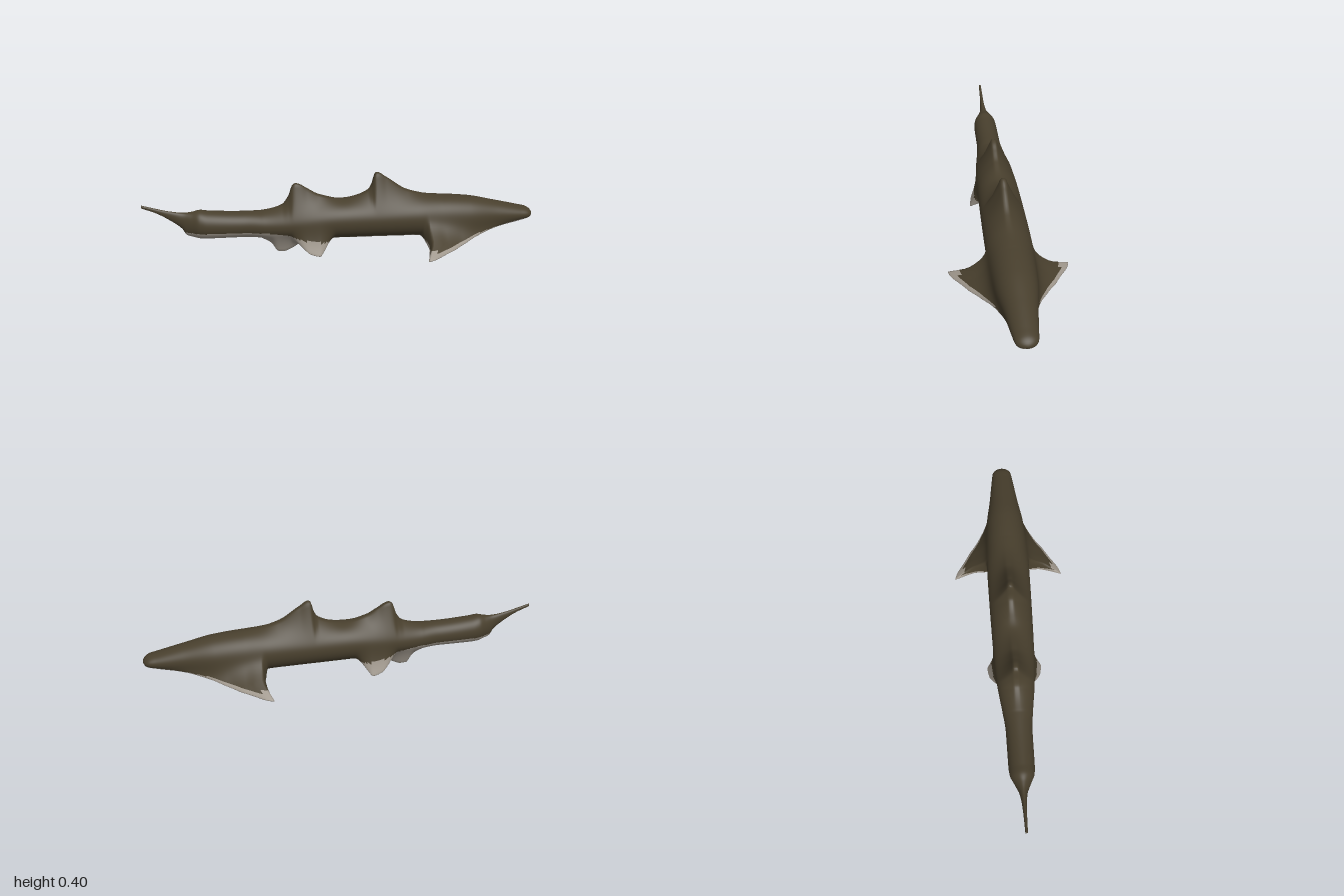
import * as THREE from 'three';

// Smooth monotone interpolation through [x, value, ...] rows
function sample(rows, x, c = 1) {
  const n = rows.length - 1;
  if (x <= rows[0][0]) return rows[0][c];
  if (x >= rows[n][0]) return rows[n][c];
  let i = 0;
  while (x > rows[i + 1][0]) i++;
  const slope = k => (rows[k + 1][c] - rows[k][c]) / (rows[k + 1][0] - rows[k][0]);
  const tangent = k => {
    if (k === 0 || k === n) return slope(k === 0 ? 0 : n - 1);
    const a = slope(k - 1), b = slope(k);
    return a * b <= 0 ? 0 : 2 * a * b / (a + b);
  };
  const h = rows[i + 1][0] - rows[i][0], t = (x - rows[i][0]) / h, u = 1 - t;
  return rows[i][c] * u * u * (1 + 2 * t) + rows[i + 1][c] * t * t * (3 - 2 * t)
    + h * t * u * (tangent(i) * u - tangent(i + 1) * t);
}

// Body core: x, top, bottom, half width
const core = [
  [-1, 0.283, 0.268, 0.006], [-0.93, 0.262, 0.238, 0.008], [-0.87, 0.246, 0.2, 0.011],
  [-0.81, 0.236, 0.15, 0.02], [-0.79, 0.235, 0.116, 0.028], [-0.76, 0.237, 0.106, 0.042],
  [-0.72, 0.244, 0.096, 0.06], [-0.68, 0.238, 0.094, 0.064], [-0.5, 0.227, 0.094, 0.066],
  [-0.4, 0.226, 0.086, 0.077], [-0.25, 0.243, 0.077, 0.096], [0, 0.27, 0.07, 0.107],
  [0.38, 0.275, 0.062, 0.112], [0.5, 0.272, 0.046, 0.108], [0.65, 0.259, 0.052, 0.099],
  [0.8, 0.227, 0.088, 0.075], [0.93, 0.196, 0.114, 0.057], [0.97, 0.186, 0.124, 0.05],
  [0.99, 0.174, 0.133, 0.036], [1, 0.162, 0.146, 0.015],
];
// Height of the two dorsal fins above the core
const dorsal = [
  [-0.42, 0], [-0.31, 0.02], [-0.275, 0.06], [-0.255, 0.112], [-0.24, 0.121], [-0.22, 0.114],
  [-0.18, 0.084], [-0.12, 0.042], [0, 0.004], [0.06, 0.014], [0.13, 0.045], [0.15, 0.08],
  [0.162, 0.128], [0.175, 0.134], [0.22, 0.107], [0.33, 0.035], [0.44, 0.006], [0.52, 0],
];
// Depth of the anal fin below the core
const anal = [[-0.42, 0], [-0.37, 0.028], [-0.335, 0.074], [-0.31, 0.076], [-0.27, 0.06], [-0.21, 0.02], [-0.16, 0]];
// Paired fins: x, reach, tip height, strength
const paired = [
  [-0.27, 0.1, 0.06, 0], [-0.21, 0.132, 0.042, 0.75], [-0.18, 0.137, 0.03, 0.95],
  [-0.13, 0.142, 0.022, 1], [-0.11, 0.135, 0.03, 0.85], [-0.04, 0.11, 0.06, 0],
  [0.395, 0.11, 0.06, 0], [0.41, 0.135, 0.055, 0.7], [0.42, 0.2, 0.045, 1], [0.43, 0.293, 0.034, 1],
  [0.455, 0.285, 0.035, 1], [0.513, 0.23, 0.043, 1], [0.6, 0.158, 0.056, 1],
  [0.7, 0.108, 0.08, 0.8], [0.82, 0.076, 0.11, 0.4], [0.95, 0.052, 0.13, 0],
];
// Height of the line between back and belly colours
const colourLine = [
  [-0.81, 0], [-0.795, 0.137], [-0.4, 0.132], [-0.3, 0.118], [-0.2, 0.096], [-0.12, 0.085],
  [0.35, 0.088], [0.43, 0.07], [0.6, 0.079], [0.8, 0.11], [1, 0.147],
];

const FIN_ANGLE = -0.7;
const ridge = (z, flat, width) => Math.max(0, 1 - Math.max(0, Math.abs(z) - flat) / width) ** 2;

// One point of the skin at station x and angle a around the body
function skinPoint(x, a) {
  const top = sample(core, x, 1), bottom = sample(core, x, 2), half = sample(core, x, 3);
  const side = Math.cos(a) < 0 ? -1 : 1;
  const phi = Math.asin(Math.sin(a));
  let z = half * Math.cos(phi);
  let y = (top + bottom) / 2 + (top - bottom) / 2 * Math.sin(phi);
  if (phi > 0) y += sample(dorsal, x) * ridge(z, 0.012, 0.095);
  else y -= sample(anal, x) * ridge(z, 0.022, 0.06);
  // Pull the lower flank out into the paired fins
  const d = phi - FIN_ANGLE;
  const pull = sample(paired, x, 3) * Math.exp(-((d / (d > 0 ? 0.42 : 0.32)) ** 2));
  z += (sample(paired, x, 1) - z) * pull;
  y += (sample(paired, x, 2) + 0.05 * Math.sin(d) - y) * pull;
  // Swept fin tips
  const sweep = x > 0.3 ? 0.042 * Math.max(0, z - 0.2) / 0.09 : 0;
  return [x - sweep, y, z * side, phi];
}

export function createModel() {
  const backMaterial = new THREE.MeshStandardMaterial({ color: 0x483f2d });
  backMaterial.name = 'olive brown back';
  const bellyMaterial = new THREE.MeshStandardMaterial({ color: 0x9f978c });
  bellyMaterial.name = 'pale grey belly';

  const RINGS = 320, SIDES = 96;
  const positions = [], angles = [], back = [], belly = [];
  for (let i = 0; i <= RINGS; i++) {
    for (let j = 0; j < SIDES; j++) {
      const [x, y, z, phi] = skinPoint(-1 + 2 * i / RINGS, j / SIDES * Math.PI * 2);
      positions.push(x, y, z);
      angles.push(phi);
    }
  }
  // Sort each face into back or belly
  const addFace = (...v) => {
    const mean = k => v.reduce((s, p) => s + positions[p * 3 + k], 0) / v.length;
    const phi = v.reduce((s, p) => s + angles[p], 0) / v.length;
    const x = mean(0), y = mean(1), z = Math.abs(mean(2));
    const pale = z > 0.24 || (y < sample(colourLine, x) && (x < 0.38 || phi < -0.52));
    const target = pale ? belly : back;
    for (let k = 1; k < v.length - 1; k++) target.push(v[0], v[k], v[k + 1]);
  };
  for (let i = 0; i < RINGS; i++) {
    for (let j = 0; j < SIDES; j++) {
      const a = i * SIDES + j, b = i * SIDES + (j + 1) % SIDES;
      addFace(a, a + SIDES, b + SIDES, b);
    }
  }
  // Close the tail and nose
  for (const [ring, x, y] of [[0, -1, 0.2755], [RINGS, 1, 0.154]]) {
    const centre = positions.length / 3;
    positions.push(x, y, 0);
    angles.push(0);
    for (let j = 0; j < SIDES; j++) {
      const a = ring * SIDES + j, b = ring * SIDES + (j + 1) % SIDES;
      if (ring) addFace(centre, b, a);
      else addFace(centre, a, b);
    }
  }
  // Turn the cap winding outward where needed
  const geometry = new THREE.BufferGeometry();
  geometry.setAttribute('position', new THREE.Float32BufferAttribute(positions, 3));
  geometry.setIndex([...back, ...belly]);
  geometry.addGroup(0, back.length, 0);
  geometry.addGroup(back.length, belly.length, 1);
  geometry.computeVertexNormals();

  for (const m of [backMaterial, bellyMaterial]) m.side = THREE.DoubleSide;
  const skin = new THREE.Mesh(geometry, [backMaterial, bellyMaterial]);
  skin.name = 'bodyAndFins';
  const group = new THREE.Group();
  group.name = 'shark';
  group.add(skin);
  return group;
}
